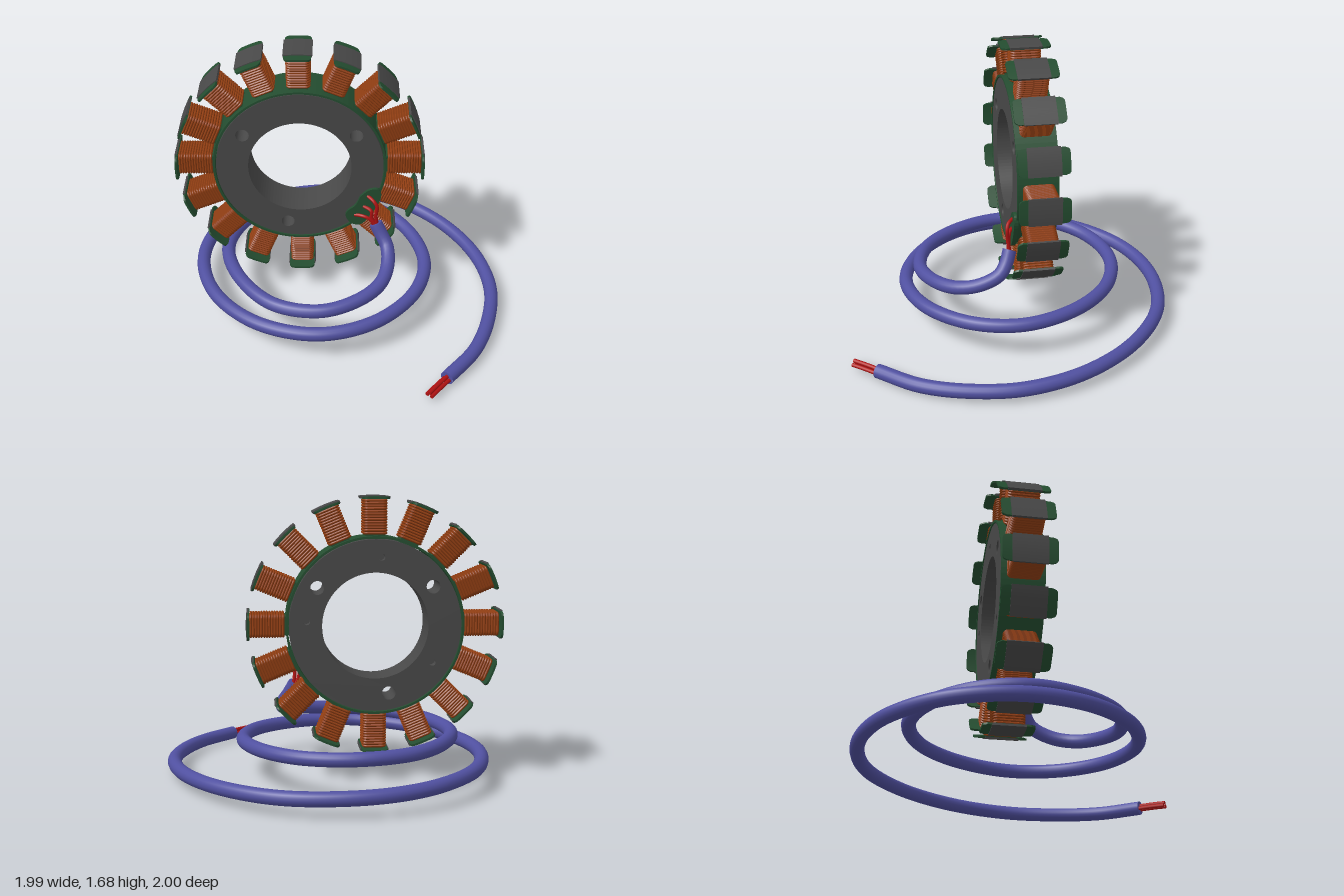
import * as THREE from 'three';
import { mergeGeometries } from 'three/addons/utils/BufferGeometryUtils.js';

const mat = (color, extra = {}) => new THREE.MeshStandardMaterial({ color, ...extra });
const steel = mat(0x484848);
const green = mat(0x244d30);
const copper = mat(0x8f3d12);
const sheath = mat(0x5050a0);
const red = mat(0xb01212);

const TEETH = 16;
const v = (x, y, z) => new THREE.Vector3(x, y, z);
const rad = THREE.MathUtils.degToRad;

function add(parent, name, geometry, material) {
  const mesh = new THREE.Mesh(geometry, material);
  mesh.name = name;
  parent.add(mesh);
  return mesh;
}

// Flat ring with round holes [angle in degrees, distance, radius], from z0 to z1
function ring(outer, inner, holes, z0, z1) {
  const shape = new THREE.Shape().absarc(0, 0, outer, 0, Math.PI * 2);
  shape.holes.push(new THREE.Path().absarc(0, 0, inner, 0, Math.PI * 2, true));
  for (const [a, d, r] of holes) {
    shape.holes.push(new THREE.Path().absarc(d * Math.cos(rad(a)), d * Math.sin(rad(a)), r, 0, Math.PI * 2, true));
  }
  return new THREE.ExtrudeGeometry(shape, { depth: z1 - z0, bevelEnabled: false, curveSegments: 48 }).translate(0, 0, z0);
}

function roundedRect(w, h, r) {
  const x = w / 2, y = h / 2;
  return new THREE.Shape()
    .absarc(x - r, y - r, r, 0, Math.PI / 2)
    .absarc(-x + r, y - r, r, Math.PI / 2, Math.PI)
    .absarc(-x + r, -y + r, r, Math.PI, Math.PI * 1.5)
    .absarc(x - r, -y + r, r, Math.PI * 1.5, Math.PI * 2);
}

// Stack of bevelled wire turns along the tooth (local y is radial)
function coilGeometry() {
  const turns = 13, from = 0.527, to = 0.73, pitch = (to - from) / turns, bevel = pitch * 0.36;
  const turn = new THREE.ExtrudeGeometry(roundedRect(0.142 - 2 * bevel, 0.188 - 2 * bevel, 0.022), {
    depth: pitch - 2 * bevel, bevelSize: bevel, bevelThickness: bevel, bevelSegments: 1, curveSegments: 3,
  }).rotateX(-Math.PI / 2);
  const parts = [];
  for (let i = 0; i < turns; i++) parts.push(turn.clone().translate(0, from + i * pitch + bevel, 0));
  return mergeGeometries(parts);
}

// Thin plate bent around the stator axis, with corners rounded off in z
function shoeGeometry(width, length, corner, r0, r1) {
  const geometry = new THREE.BoxGeometry(width, r1 - r0, length, 20, 1, 1);
  const p = geometry.attributes.position;
  for (let i = 0; i < p.count; i++) {
    const t = p.getX(i);
    const r = (r0 + r1) / 2 + p.getY(i);
    const over = Math.max(0, Math.abs(t) - (width / 2 - corner));
    const cut = corner - Math.sqrt(Math.max(0, corner * corner - over * over));
    const a = t / r1;
    p.setXYZ(i, r * Math.sin(a), r * Math.cos(a), Math.sign(p.getZ(i)) * (length / 2 - cut));
  }
  geometry.computeVertexNormals();
  return geometry;
}

function tube(parent, name, points, radius, segments, sides, material) {
  const curve = new THREE.CatmullRomCurve3(points);
  add(parent, name, new THREE.TubeGeometry(curve, segments, radius, sides), material);
  // End discs
  for (const [u, sign] of [[0, -1], [1, 1]]) {
    const cap = add(parent, name + 'End', new THREE.CircleGeometry(radius, sides), material);
    const at = curve.getPointAt(u);
    cap.position.copy(at);
    cap.lookAt(at.clone().addScaledVector(curve.getTangentAt(u), sign));
  }
}

function createStator() {
  const stator = new THREE.Group();
  stator.name = 'stator';
  stator.position.set(-0.245, 0.93, -0.14);

  // Hub with through bolt holes; the back layer also has small blind holes
  const bolts = [33.5, 146, 258.5].map((a) => [a, 0.405, 0.04]);
  const pins = [95, 4, 213].map((a) => [a, 0.4, 0.02]);
  add(stator, 'hub', ring(0.502, 0.31, bolts, -0.06, 0.118), steel);
  add(stator, 'hubBack', ring(0.502, 0.31, [...bolts, ...pins], -0.118, -0.06), steel);
  add(stator, 'insulatorRing', ring(0.52, 0.507, [], -0.123, 0.123), green);

  // Teeth: core, winding, insulating shoe and steel pole face
  const core = new THREE.BoxGeometry(0.11, 0.24, 0.16).translate(0, 0.62, 0);
  const coil = coilGeometry();
  const shoe = shoeGeometry(0.158, 0.3, 0.028, 0.734, 0.746);
  const face = shoeGeometry(0.17, 0.195, 0.002, 0.738, 0.751);
  for (let i = 0; i < TEETH; i++) {
    const tooth = new THREE.Group();
    tooth.name = 'tooth';
    tooth.rotation.z = (i / TEETH) * Math.PI * 2;
    add(tooth, 'toothCore', core, green);
    add(tooth, 'winding', coil, copper);
    add(tooth, 'shoe', shoe, green);
    add(tooth, 'poleFace', face, steel);
    stator.add(tooth);
  }
  return stator;
}

export function createModel() {
  const model = new THREE.Group();
  model.name = 'statorWithCable';
  model.add(createStator());

  // Terminal pad where the wires leave the hub
  const outline = [
    [0.12, 0.73], [0.17, 0.775], [0.23, 0.78], [0.245, 0.72], [0.2, 0.62], [0.13, 0.525],
    [0.065, 0.53], [0.03, 0.585], [0.045, 0.625], [0.09, 0.665],
  ].map(([x, y]) => new THREE.Vector2(x, y));
  const pad = new THREE.Shape(new THREE.SplineCurve([...outline, outline[0]]).getPoints(40));
  add(model, 'terminalPad', new THREE.ExtrudeGeometry(pad, { depth: 0.025, bevelEnabled: false }).translate(0, 0, -0.028), green);

  // Cable: drops from the pad, then coils outward to the ground
  const path = [
    [0.215, 0.545, 0.02], [0.25, 0.48, 0.045], [0.285, 0.42, 0.09], [0.285, 0.36, 0.21], [0.235, 0.325, 0.34],
    [0.1, 0.3, 0.46], [-0.12, 0.28, 0.533], [-0.4, 0.27, 0.46], [-0.62, 0.27, 0.21], [-0.715, 0.265, -0.1],
    [-0.64, 0.26, -0.37], [-0.43, 0.252, -0.59], [-0.11, 0.248, -0.68], [0.2, 0.238, -0.59], [0.43, 0.228, -0.35],
    [0.53, 0.215, -0.02], [0.45, 0.205, 0.28], [0.2, 0.19, 0.53], [-0.13, 0.18, 0.625], [-0.5, 0.165, 0.51],
    [-0.78, 0.155, 0.22], [-0.885, 0.148, -0.15], [-0.8, 0.138, -0.52], [-0.56, 0.127, -0.79], [-0.3, 0.118, -0.92],
    [0, 0.11, -0.955], [0.33, 0.1, -0.88], [0.65, 0.09, -0.64], [0.87, 0.08, -0.3], [0.95, 0.07, 0.05],
    [0.91, 0.06, 0.35], [0.8, 0.05, 0.62], [0.615, 0.045, 0.85],
  ].map((p) => v(...p));
  tube(model, 'cable', path, 0.042, 300, 16, sheath);

  // Three conductors from the cable to the pad
  const leads = [
    [[0.225, 0.53, 0.025], [0.215, 0.61, 0.03], [0.22, 0.68, 0.035], [0.2, 0.715, 0.025], [0.165, 0.73, -0.01]],
    [[0.215, 0.53, 0.025], [0.19, 0.59, 0.02], [0.185, 0.64, 0.02], [0.14, 0.655, -0.01]],
    [[0.205, 0.53, 0.02], [0.18, 0.575, 0.02], [0.14, 0.595, 0.015], [0.085, 0.59, -0.01]],
  ];
  for (const lead of leads) tube(model, 'lead', lead.map((p) => v(...p)), 0.011, 20, 8, red);

  // Bare conductors at the free end
  for (const [dx, y, dz] of [[-0.012, 0.04, -0.012], [0.012, 0.04, 0.01], [0, 0.06, 0]]) {
    tube(model, 'freeWire', [
      v(0.63 + dx, y, 0.835 + dz), v(0.56 + dx, y - 0.002, 0.915 + dz), v(0.505 + dx, y - 0.006, 0.98 + dz),
    ], 0.012, 8, 8, red);
  }
  return model;
}
